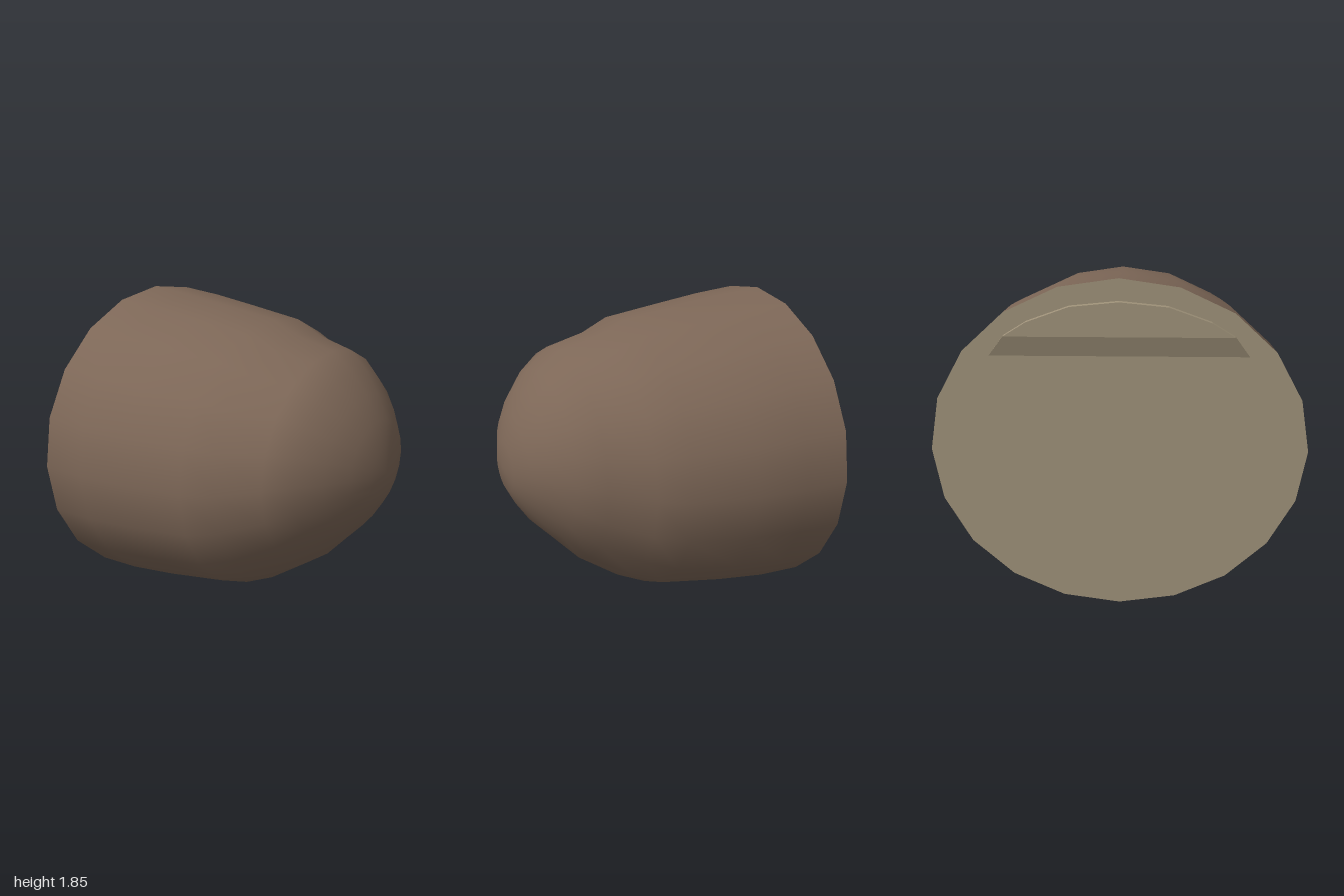
import * as THREE from 'three';
import { ConvexGeometry } from 'three/addons/geometries/ConvexGeometry.js';

const SIDES = 20;

// Dome rings from back to front: z, top y, bottom y, half width at -x, half width at +x
const RINGS = [
  [-0.83, 1.855, 0.005, 1.0, 1.0],
  [-0.57, 1.83, 0.015, 0.99, 0.99],
  [-0.28, 1.79, 0.05, 0.955, 0.95],
  [0.08, 1.74, 0.105, 0.89, 0.87],
  [0.25, 1.665, 0.18, 0.8, 0.77],
  [0.49, 1.605, 0.345, 0.705, 0.665],
  [0.62, 1.5, 0.485, 0.59, 0.54],
  [0.72, 1.38, 0.59, 0.46, 0.42],
  [0.8, 1.25, 0.71, 0.31, 0.3],
  [0.85, 1.1, 0.81, 0.16, 0.15],
];

function domeGeometry() {
  const pos = [], index = [];
  for (const [z, top, bottom, left, right] of RINGS) {
    for (let j = 0; j < SIDES; j++) {
      const a = (j / SIDES) * Math.PI * 2, c = Math.cos(a);
      pos.push(c * (c < 0 ? left : right), (top + bottom) / 2 + Math.sin(a) * (top - bottom) / 2, z);
    }
  }
  const apex = pos.length / 3;
  pos.push(0, 0.95, 0.865);
  for (let i = 0; i < RINGS.length; i++) {
    for (let j = 0; j < SIDES; j++) {
      const a = i * SIDES + j, b = i * SIDES + (j + 1) % SIDES;
      if (i === RINGS.length - 1) index.push(a, b, apex);
      else index.push(a, b, b + SIDES, a, b + SIDES, a + SIDES);
    }
  }
  const g = new THREE.BufferGeometry();
  g.setAttribute('position', new THREE.Float32BufferAttribute(pos, 3));
  g.setIndex(index);
  g.computeVertexNormals();
  return g;
}

// Raised arched plate, fading into the back face along its lower edge
function plateGeometry() {
  const pts = [];
  for (const s of [-1, 1]) {
    pts.push(new THREE.Vector3(s * 0.67, 1.45, -0.83));
    for (const [x, y] of [[0.59, 1.56], [0.47, 1.635], [0.25, 1.715], [0, 1.74]]) {
      pts.push(new THREE.Vector3(s * x, y, -0.83), new THREE.Vector3(s * x, y, -0.863));
    }
  }
  return new ConvexGeometry(pts);
}

export function createModel() {
  const group = new THREE.Group();
  const brown = new THREE.MeshStandardMaterial({ color: 0x7d6757 });
  const tan = new THREE.MeshStandardMaterial({ color: 0xa0937a });

  const add = (name, geometry, material) => {
    const mesh = new THREE.Mesh(geometry, material);
    mesh.name = name;
    group.add(mesh);
    return mesh;
  };

  add('dome', domeGeometry(), brown);

  // Flat disc closing the back
  const back = add('backFace', new THREE.CircleGeometry(1, SIDES), tan);
  back.rotation.y = Math.PI;
  back.scale.y = 0.925;
  back.position.set(0, 0.93, -0.83);

  add('backPlate', plateGeometry(), tan);
  return group;
}
